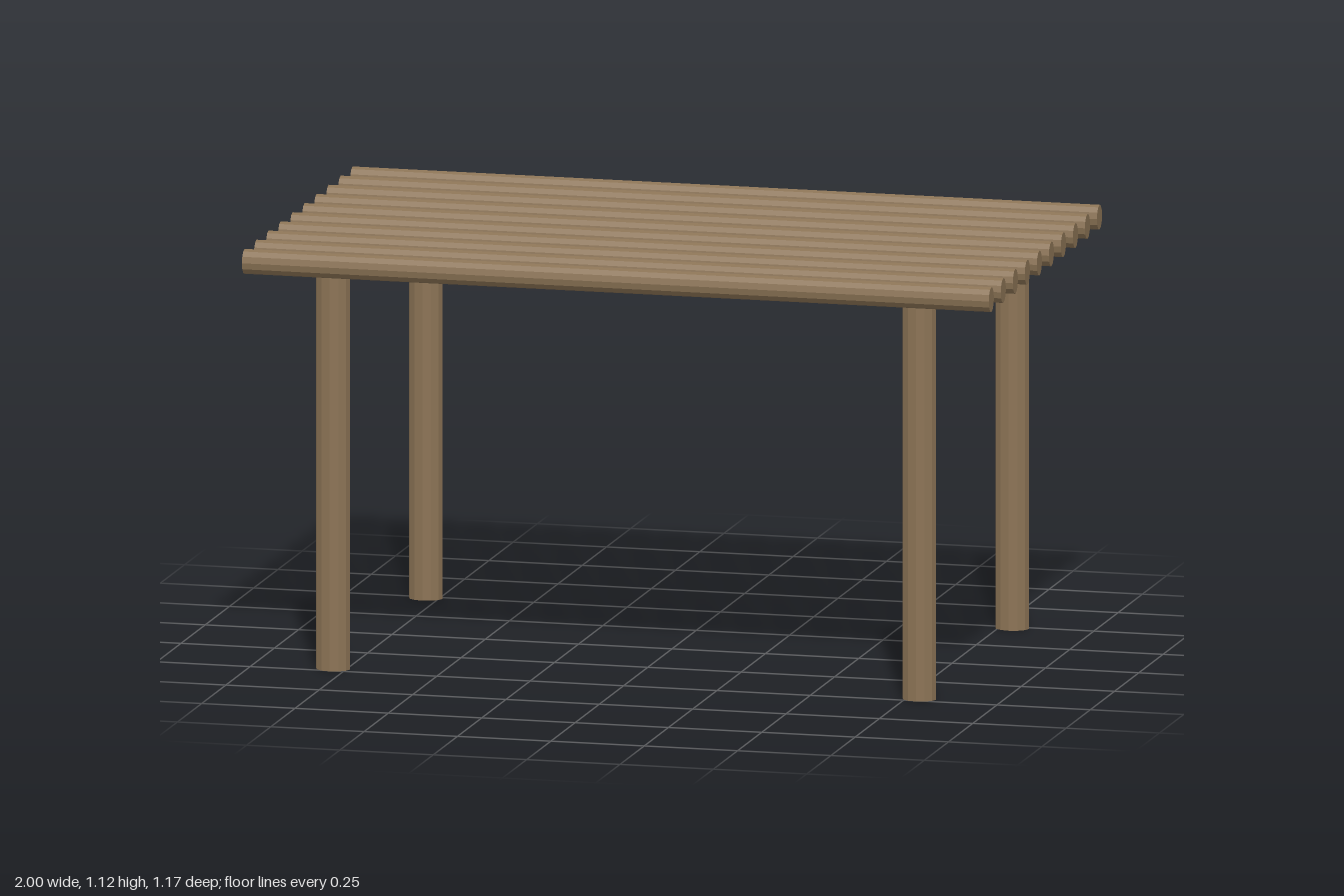
import * as THREE from 'three';

export function createModel() {
  const model = new THREE.Group();
  model.name = 'pergola';
  const wood = new THREE.MeshStandardMaterial({ color: 0x8b7355, flatShading: true });
  wood.name = 'weathered wood';

  const SIDES = 12;
  const postHeight = 1.05;

  // Four slightly oval posts
  const postGeometry = new THREE.CylinderGeometry(1, 1, postHeight, SIDES);
  postGeometry.scale(0.045, 1, 0.0365);
  for (const [row, z] of [['front', 0.473], ['back', -0.485]]) {
    for (const [side, x] of [['Left', 0.785], ['Right', -0.785]]) {
      const post = new THREE.Mesh(postGeometry, wood);
      post.name = `${row}${side}Post`;
      post.position.set(x, postHeight / 2, z);
      model.add(post);
    }
  }

  // Ten oval roof poles lying across the width
  const poleCount = 10;
  const poleGeometry = new THREE.CylinderGeometry(1, 1, 2, SIDES);
  poleGeometry.rotateZ(Math.PI / 2);
  poleGeometry.scale(1, 0.033, 0.0265);
  for (let i = 0; i < poleCount; i++) {
    const pole = new THREE.Mesh(poleGeometry, wood);
    pole.name = `roofPole${i + 1}`;
    pole.position.set(0, postHeight + 0.033, 0.558 - (i * 2 * 0.558) / (poleCount - 1));
    model.add(pole);
  }

  return model;
}
